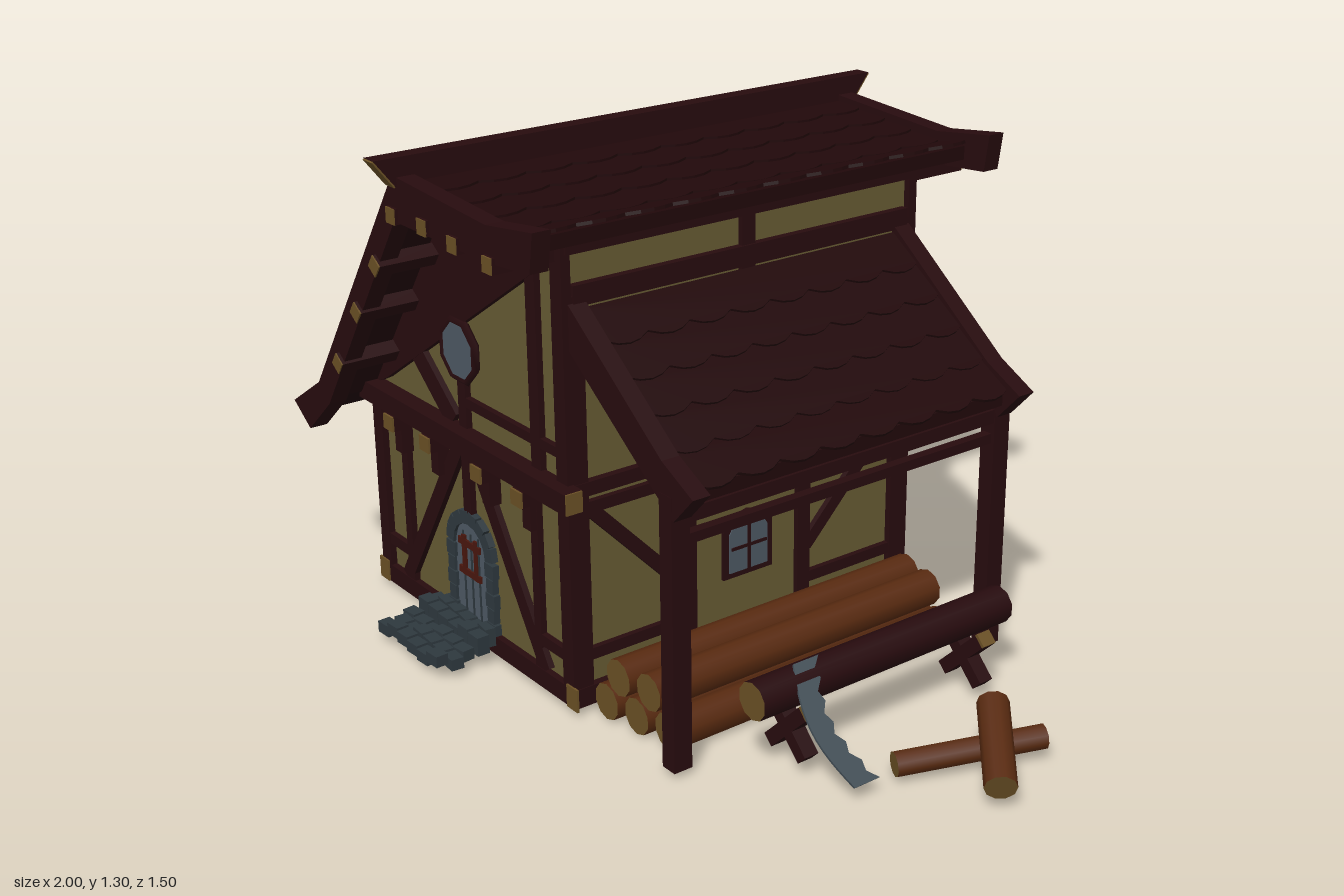
import * as THREE from 'three';

const mat = (name, color) => Object.assign(new THREE.MeshStandardMaterial({ color }), { name });
const M = {
  wall: mat('plaster', 0x665b33), timber: mat('dark timber', 0x270b0e), roof: mat('roof tile', 0x21080a),
  bark: mat('bark', 0x582a10), cut: mat('cut wood', 0x6a5025), glass: mat('window glass', 0x4d5863),
  stone: mat('stone', 0x2e383e), steel: mat('saw steel', 0x434f57), iron: mat('red door fitting', 0x4a170e),
};
M.steel.side = THREE.DoubleSide;

function add(parent, name, geo, material, x = 0, y = 0, z = 0) {
  const m = new THREE.Mesh(geo, material);
  m.name = name;
  m.position.set(x, y, z);
  parent.add(m);
  return m;
}
const box = (p, name, material, w, h, d, x, y, z) => add(p, name, new THREE.BoxGeometry(w, h, d), material, x, y, z);
const polygon = pts => new THREE.Shape(pts.map(q => new THREE.Vector2(...q)));

// xy outline extruded from z0 to z1
function slab(p, name, material, pts, z0, z1) {
  const geo = new THREE.ExtrudeGeometry(polygon(pts), { depth: z1 - z0, bevelEnabled: false });
  return add(p, name, geo, material, 0, 0, z0);
}
// timber bar between two points of an xy plane
function bar(p, name, x1, y1, x2, y2, w, d, z, material = M.timber) {
  const m = box(p, name, material, Math.hypot(x2 - x1, y2 - y1), w, d, (x1 + x2) / 2, (y1 + y2) / 2, z);
  m.rotation.z = Math.atan2(y2 - y1, x2 - x1);
  return m;
}
// log between two points with pale ends
function log(p, name, a, b, r, bark = M.bark) {
  const A = new THREE.Vector3(...a), B = new THREE.Vector3(...b);
  const m = add(p, name, new THREE.CylinderGeometry(r, r, A.distanceTo(B), 10), [bark, M.cut, M.cut]);
  m.position.copy(A).add(B).multiplyScalar(0.5);
  m.quaternion.setFromUnitVectors(new THREE.Vector3(0, 1, 0), B.sub(A).normalize());
}

// overlapping scalloped courses following a slope path, over a thin deck
function tiledSlope(p, name, path, rows, z0, z1, count) {
  const under = path.map(([x, y]) => [x, y - 0.035]).reverse();
  slab(p, name + 'Deck', M.roof, [...path, ...under], z0, z1);
  const curve = new THREE.CurvePath(), v = path.map(q => new THREE.Vector3(q[0], q[1], 0));
  for (let i = 1; i < v.length; i++) curve.add(new THREE.LineCurve3(v[i - 1], v[i]));
  const width = z1 - z0, step = width / count;
  for (let r = 0; r < rows; r++) {
    const a = curve.getPoint(r / rows), b = curve.getPoint((r + 1) / rows);
    const len = a.distanceTo(b), d = b.clone().sub(a).normalize();
    const side = Math.sign(d.x), xAxis = new THREE.Vector3(0, 0, side);
    d.addScaledVector(xAxis.clone().cross(d), 0.06).normalize();
    const s = new THREE.Shape();
    s.moveTo(-width / 2, 0);
    s.lineTo(-width / 2, len);
    for (let i = 0; i < count; i++) {
      const x = -width / 2 + i * step;
      s.quadraticCurveTo(x + step / 2, len + 0.04, x + step, len);
    }
    s.lineTo(width / 2, 0);
    const geo = new THREE.ExtrudeGeometry(s, { depth: 0.008, bevelEnabled: false, curveSegments: 4 });
    geo.applyMatrix4(new THREE.Matrix4().makeBasis(xAxis, d, xAxis.clone().cross(d)));
    add(p, name + 'Course', geo, M.roof, a.x, a.y, (z0 + z1) / 2);
  }
}

// arched outline, used for windows and the door
function arch(w, y0, y1, y2) {
  return [[-w, y0], [w, y0], [w, y1], [w * 0.75, (y1 + y2 * 2) / 3], [0, y2], [-w * 0.75, (y1 + y2 * 2) / 3], [-w, y1]];
}

// timbers on a gable wall; s = 1 front, -1 back
function gableTimbers(house, s) {
  const g = new THREE.Group();
  g.name = s > 0 ? 'frontTimbers' : 'backTimbers';
  house.add(g);
  const z = s > 0 ? 0.525 : -0.51, zBeam = z + s * 0.022;
  const b = (n, x1, y1, x2, y2, w, d = 0.022) => bar(g, n, x1, y1, x2, y2, w, d, z);
  b('sill', -0.85, 0.045, 0.05, 0.045, 0.05, 0.025);
  bar(g, 'floorBeam', -0.86, 0.575, 0.094, 0.575, 0.052, 0.05, zBeam);
  for (const x of [0.096, -0.861]) box(g, 'beamEnd', M.cut, 0.005, 0.052, 0.045, x, 0.575, zBeam);
  for (const x of [-0.835, 0.035]) {
    b('cornerPost', x, 0.03, x, x > 0 ? 1.17 : 0.6, 0.045, 0.025);
    box(g, 'sillEnd', M.cut, 0.045, 0.06, 0.006, x < 0 ? -0.845 : 0.052, 0.05, z + s * 0.014);
  }
  for (const x of [-0.7, -0.52, -0.28, -0.1]) {
    box(g, 'joist', M.timber, 0.045, 0.04, 0.05, x, 0.528, z + s * 0.025);
    box(g, 'joistEnd', M.cut, 0.045, 0.04, 0.006, x, 0.528, z + s * 0.053);
    box(g, 'bracket', M.timber, 0.035, 0.07, 0.035, x, 0.475, z + s * 0.01);
  }
  b('brace', -0.73, 0.07, -0.42, 0.56, 0.045);
  b('brace', -0.07, 0.07, -0.38, 0.56, 0.045);
  b('post', -0.705, 0.06, -0.705, 0.56, 0.03);
  b('post', -0.095, 0.06, -0.095, 0.56, 0.03);
  b('middlePost', -0.4, s > 0 ? 0.36 : 0.06, -0.4, 0.72, 0.035);
  b('rail', -0.83, 0.15, -0.7, 0.15, 0.03);
  b('rail', -0.1, 0.15, 0.03, 0.15, 0.03);
  // upper storey
  b('upperRail', -0.4, 0.67, 0.03, 0.67, 0.025);
  b('upperPost', -0.075, 0.6, -0.075, 1.13, 0.04);
  b('upperBrace', -0.63, 0.75, -0.45, 0.6, 0.06);
  slab(g, 'gableBoard', M.timber, [[-0.85, 0.58], [-0.77, 0.62], [0.0, 1.12], [0.04, 1.17], [-0.4, 1.2], [-0.83, 0.61]],
    z - 0.012, z + 0.012);
  // octagonal window
  const ring = add(g, 'roundWindowFrame', new THREE.TorusGeometry(0.078, 0.012, 4, 8), M.timber, -0.4, 0.8, z + s * 0.01);
  ring.rotation.z = Math.PI / 8;
  const pane = add(g, 'roundWindowGlass', new THREE.CylinderGeometry(0.075, 0.075, 0.008, 8), M.glass, -0.4, 0.8, z + s * 0.012);
  pane.rotation.set(Math.PI / 2, Math.PI / 8, 0);
}

// timbers and window on a long wall; s = 1 for +x, -1 for -x
function sideTimbers(house, s) {
  const g = new THREE.Group();
  g.name = s > 0 ? 'leftSideTimbers' : 'rightSideTimbers';
  g.position.set(s > 0 ? 0.045 : -0.845, 0, 0.008);
  g.rotation.y = s * Math.PI / 2;
  house.add(g);
  const b = (n, x1, y1, x2, y2, w, d = 0.02) => bar(g, n, x1, y1, x2, y2, w, d, 0);
  b('sill', -0.525, 0.045, 0.525, 0.045, 0.05, 0.03);
  b('rail', -0.5, 0.53, 0.5, 0.53, 0.03);
  b('floorBeam', -0.52, 0.58, 0.52, 0.58, 0.035, 0.03);
  for (const k of [-1, 1]) {
    b('post', k * 0.18, 0.06, k * 0.18, 0.55, 0.04);
    b('brace', k * 0.47, 0.53, k * 0.19, 0.24, 0.035);
    b('lowRail', k * 0.5, 0.15, k * 0.18, 0.15, 0.03);
    b('cornerPost', k * 0.495, 0.03, k * 0.495, s > 0 ? 1.05 : 0.6, 0.045, 0.025);
    if (s > 0) b('upperBrace', k * 0.3, 0.64, k * 0.18, 0.58, 0.03);
  }
  if (s > 0) {
    b('upperRail', -0.5, 1.05, 0.5, 1.05, 0.05, 0.03);
    b('topPlate', -0.52, 1.165, 0.52, 1.165, 0.03, 0.04);
    b('upperPost', 0, 0.6, 0, 1.16, 0.04);
  }
  // arched window, flush with the timbers on the covered side
  const d = s > 0 ? 0.009 : 0.022;
  slab(g, 'windowFrame', M.timber, arch(0.077, 0.22, 0.35, 0.395), 0, d);
  slab(g, 'windowGlass', M.glass, arch(0.06, 0.235, 0.34, 0.375), d - 0.002, d + 0.003);
  box(g, 'windowBar', M.timber, 0.008, 0.13, 0.004, 0, 0.3, d + 0.004);
  box(g, 'windowBar', M.timber, 0.11, 0.008, 0.004, 0, 0.3, d + 0.004);
}

function doorway(house) {
  const g = new THREE.Group();
  g.name = 'doorway';
  g.position.set(-0.4, 0, 0.52);
  house.add(g);
  slab(g, 'door', M.glass, arch(0.075, 0.06, 0.27, 0.345), 0, 0.01);
  for (const x of [-0.035, 0, 0.035]) box(g, 'doorGap', M.stone, 0.005, 0.24, 0.004, x, 0.19, 0.011);
  for (const y of [0.2, 0.28]) box(g, 'hinge', M.iron, 0.1, 0.018, 0.006, -0.005, y, 0.013);
  for (const x of [-0.03, 0.025]) box(g, 'doorFitting', M.iron, 0.016, 0.11, 0.006, x, 0.245, 0.013);
  // jamb blocks and arch stones
  for (const k of [-1, 1]) for (let i = 0; i < 5; i++)
    box(g, 'jambStone', M.stone, i % 2 ? 0.03 : 0.04, 0.038, 0.036, k * 0.09, 0.08 + i * 0.041, 0);
  for (let i = 0; i < 8; i++) {
    const t = (i + 0.5) / 8 * Math.PI;
    box(g, 'archStone', M.stone, 0.035, 0.036, 0.036, Math.cos(t) * 0.09, 0.27 + Math.sin(t) * 0.085, 0).rotation.z = t;
  }
  // uneven paving steps
  for (let r = 0; r < 5; r++) for (let c = 0; c < 6; c++) {
    const m = box(g, 'stepStone', M.stone, 0.046, r < 2 ? 0.05 : 0.03, 0.034, -0.155 + c * 0.048 + (r % 2) * 0.015,
      (r < 2 ? 0.056 : 0.04) + ((c * 7 + r * 3) % 4) * 0.005, 0.025 + r * 0.037);
    m.rotation.y = ((c * 5 + r * 2) % 5 - 2) * 0.06;
  }
}

function yard(root) {
  const g = new THREE.Group();
  g.name = 'woodYard';
  root.add(g);
  [[0.115, 0.05], [0.215, 0.05], [0.315, 0.05], [0.165, 0.135], [0.265, 0.135]].forEach(([x, y], i) =>
    log(g, 'stackedLog', [x, y, 0.485 - (i % 3) * 0.015], [x, y, -0.41 - (i % 2) * 0.02], 0.047));
  // sawhorse
  log(g, 'sawLog', [0.54, 0.205, 0.385], [0.54, 0.205, -0.385], 0.047, M.timber);
  for (const z of [-0.28, 0.27]) for (const k of [-1, 1]) {
    bar(g, 'sawhorseLeg', 0.54 - k * 0.06, 0.045, 0.54 + k * 0.06, 0.165, 0.035, 0.04, z);
    bar(g, 'sawhorseLegEnd', 0.54 + k * 0.06, 0.165, 0.54 + k * 0.066, 0.171, 0.035, 0.04, z, M.cut);
  }
  log(g, 'shortLog', [0.74, 0.045, 0.135], [0.88, 0.06, -0.2], 0.03);
  log(g, 'leaningLog', [0.8, 0.145, -0.11], [0.98, 0.065, 0.04], 0.038);
  // curved saw blade with teeth on one edge
  const outer = [], inner = [];
  for (let i = 0; i <= 12; i++) {
    const t = i / 12, bow = Math.sin(t * Math.PI);
    outer.push([t * 0.305, 0.27 + bow * 0.036]);
    inner.unshift([t * 0.305, 0.197 + bow * 0.045 + (i % 2) * 0.014]);
  }
  const blade = slab(g, 'sawBlade', M.steel, [...inner, ...outer], 0, 0.006);
  blade.geometry.applyMatrix4(new THREE.Matrix4().makeBasis(new THREE.Vector3(0.707, -0.707, 0),
    new THREE.Vector3(0, 0, 1), new THREE.Vector3(-0.707, -0.707, 0)));
  blade.position.set(0.545, 0.262, 0);
}

export function createModel() {
  const root = new THREE.Group();
  root.name = 'cottage';
  slab(root, 'walls', M.wall, [[-0.84, 0.025], [0.04, 0.025], [0.04, 1.17], [-0.4, 1.2], [-0.84, 0.59]], -0.505, 0.52);
  for (const s of [1, -1]) { gableTimbers(root, s); sideTimbers(root, s); }
  doorway(root);

  // main roof
  tiledSlope(root, 'longRoof', [[-0.4, 1.232], [-0.845, 0.604], [-0.945, 0.535]], 9, -0.65, 0.65, 10);
  tiledSlope(root, 'shortRoof', [[-0.4, 1.235], [0, 1.2], [0.1, 1.217]], 5, -0.65, 0.65, 10);
  for (const z of [0.665, -0.665]) {
    slab(root, 'longBargeboard', M.timber, [[-0.4, 1.26], [-0.85, 0.62], [-1, 0.525], [-0.92, 0.47], [-0.8, 0.575], [-0.4, 1.15]],
      z - 0.024, z + 0.024);
    slab(root, 'shortBargeboard', M.timber, [[-0.4, 1.15], [0, 1.15], [0.17, 1.165], [0.185, 1.26], [0, 1.235], [-0.4, 1.26]],
      z - 0.024, z + 0.024);
  }
  // ridge beam with slanted pale ends
  const ridge = slab(root, 'ridgeBeam', M.timber, [[-0.745, 1.305], [-0.69, 1.235], [0.69, 1.235], [0.745, 1.305]], -0.022, 0.022);
  ridge.rotation.y = Math.PI / 2;
  ridge.position.set(-0.422, 0, 0);
  for (const s of [1, -1])
    box(root, 'ridgeEnd', M.cut, 0.042, 0.086, 0.005, -0.4, 1.269, s * 0.719).rotation.x = s * 0.666;
  // purlins with pale ends
  [[-0.4, 1.165], [-0.26, 1.17], [-0.13, 1.16], [0.015, 1.15], [-0.495, 1.02, 1], [-0.605, 0.875, 1], [-0.72, 0.71, 1]].forEach(([x, y, tilt]) => {
    for (const s of [1, -1]) {
      const r = tilt ? 0.95 : 0;
      box(root, 'purlin', M.timber, 0.038, 0.038, 0.2, x, y, s * 0.597).rotation.z = r;
      box(root, 'purlinEnd', M.cut, 0.038, 0.038, 0.004, x, y, s * 0.698).rotation.z = r;
    }
  });

  // lean-to
  tiledSlope(root, 'leanRoof', [[0.05, 1.012], [0.4, 0.748], [0.455, 0.715]], 5, -0.46, 0.48, 8);
  for (const z of [0.498, -0.475]) {
    slab(root, 'leanBargeboard', M.timber, [[0.05, 0.93], [0.39, 0.68], [0.44, 0.645], [0.51, 0.72], [0.4, 0.775], [0.05, 1.04]],
      z - 0.024, z + 0.024);
    box(root, 'leanPost', M.timber, 0.045, 0.68, 0.05, 0.412, 0.36, z);
  }
  box(root, 'leanBeam', M.timber, 0.04, 0.035, 0.98, 0.412, 0.645, 0.01);
  box(root, 'leanRail', M.timber, 0.025, 0.025, 0.98, 0.412, 0.585, 0.01);
  yard(root);
  return root;
}
